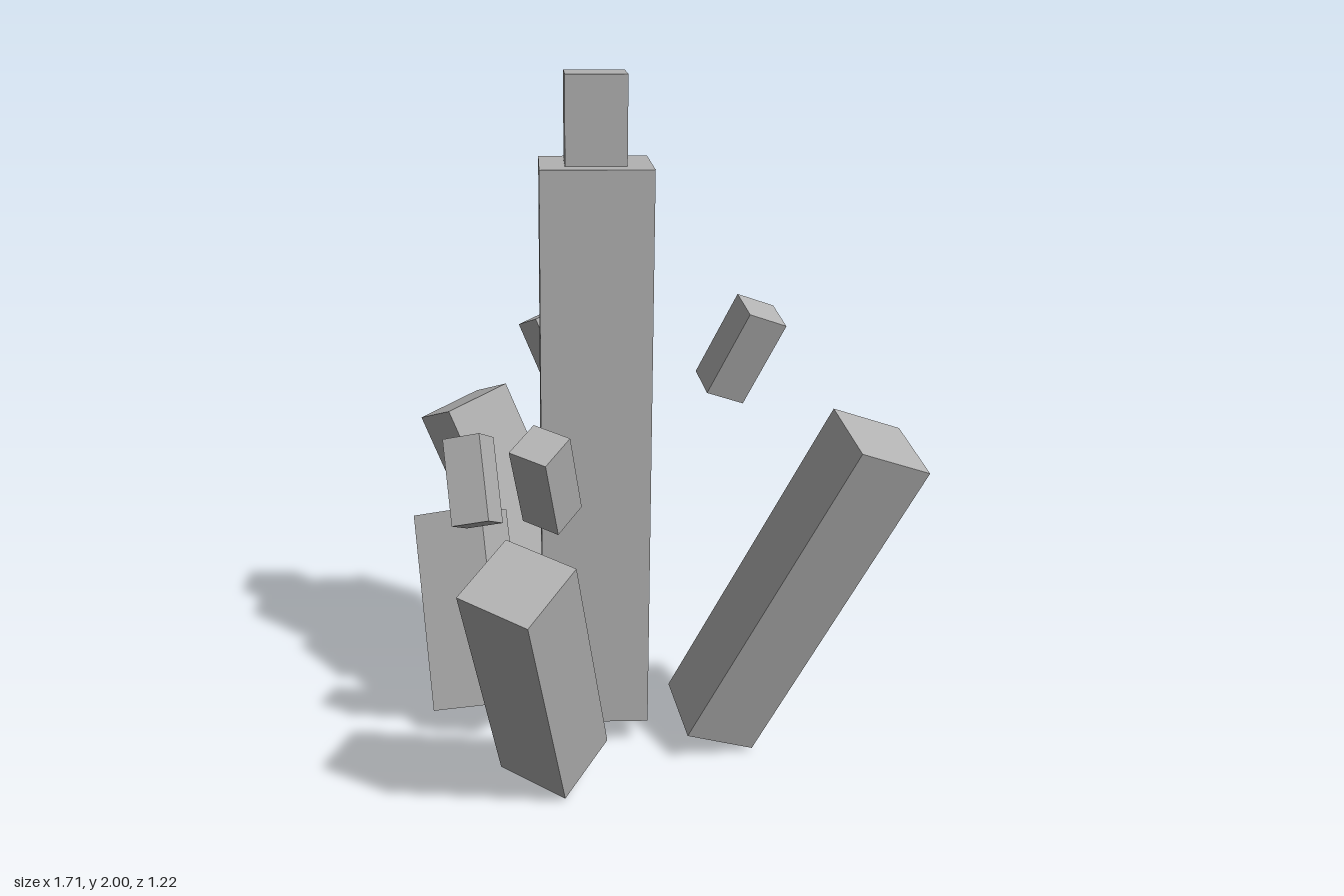
import * as THREE from 'three';

// Square bar: top = centre of the top face, axis = direction upward along the bar,
// edge = direction of one side of its square section
function bar(name, material, top, axis, edge, width, length) {
  const y = new THREE.Vector3(...axis).normalize();
  const x = new THREE.Vector3(...edge);
  x.addScaledVector(y, -x.dot(y)).normalize();
  const z = new THREE.Vector3().crossVectors(x, y);
  const mesh = new THREE.Mesh(new THREE.BoxGeometry(width, length, width), material);
  mesh.name = name;
  mesh.quaternion.setFromRotationMatrix(new THREE.Matrix4().makeBasis(x, y, z));
  mesh.position.set(...top).addScaledVector(y, -length / 2);
  return mesh;
}

export function createModel() {
  const group = new THREE.Group();
  group.name = 'crystalCluster';
  const stone = new THREE.MeshStandardMaterial({ color: 0xb2b2b2, flatShading: true });
  stone.name = 'greyStone';

  // Central pillar with a smaller cap block, both turned 45 degrees
  const up = [0, 1, 0], diagonal = [1, 0, 1];
  group.add(bar('centralPillar', stone, [-0.08, 1.75, -0.153], up, diagonal, 0.318, 1.67));
  group.add(bar('pillarCap', stone, [-0.08, 2, -0.153], up, diagonal, 0.174, 0.25));

  // Leaning shards, each with a small floating chip aligned above it
  const shards = [
    { name: 'backLeft', axis: [0.45, 0.945, -0.153], edge: [0.18, -0.07, 0.125],
      top: [0.715, 1.028, -0.46], length: 1.06, chip: [0.375, 1.363, -0.348] },
    { name: 'backRight', axis: [-0.35, 0.83, 0.156], edge: [0.205, 0.072, 0.06],
      top: [-0.737, 0.906, -0.23], length: 0.915, chip: [-0.482, 1.217, -0.345] },
    { name: 'frontRight', axis: [-0.23, 0.54, -0.142], edge: [0.083, 0.09, 0.193],
      top: [-0.545, 0.614, -0.033], length: 0.607, chip: [-0.412, 0.91, 0.05] },
    { name: 'frontLeft', axis: [0.162, 0.677, 0.304], edge: [0.218, -0.037, -0.042],
      top: [0.235, 0.756, 0.486], length: 0.762, chip: [0.127, 1.06, 0.288] },
  ];
  for (const s of shards) {
    group.add(bar(s.name + 'Shard', stone, s.top, s.axis, s.edge, 0.226, s.length));
    group.add(bar(s.name + 'Chip', stone, s.chip, s.axis, s.edge, 0.119, 0.265));
  }
  return group;
}
